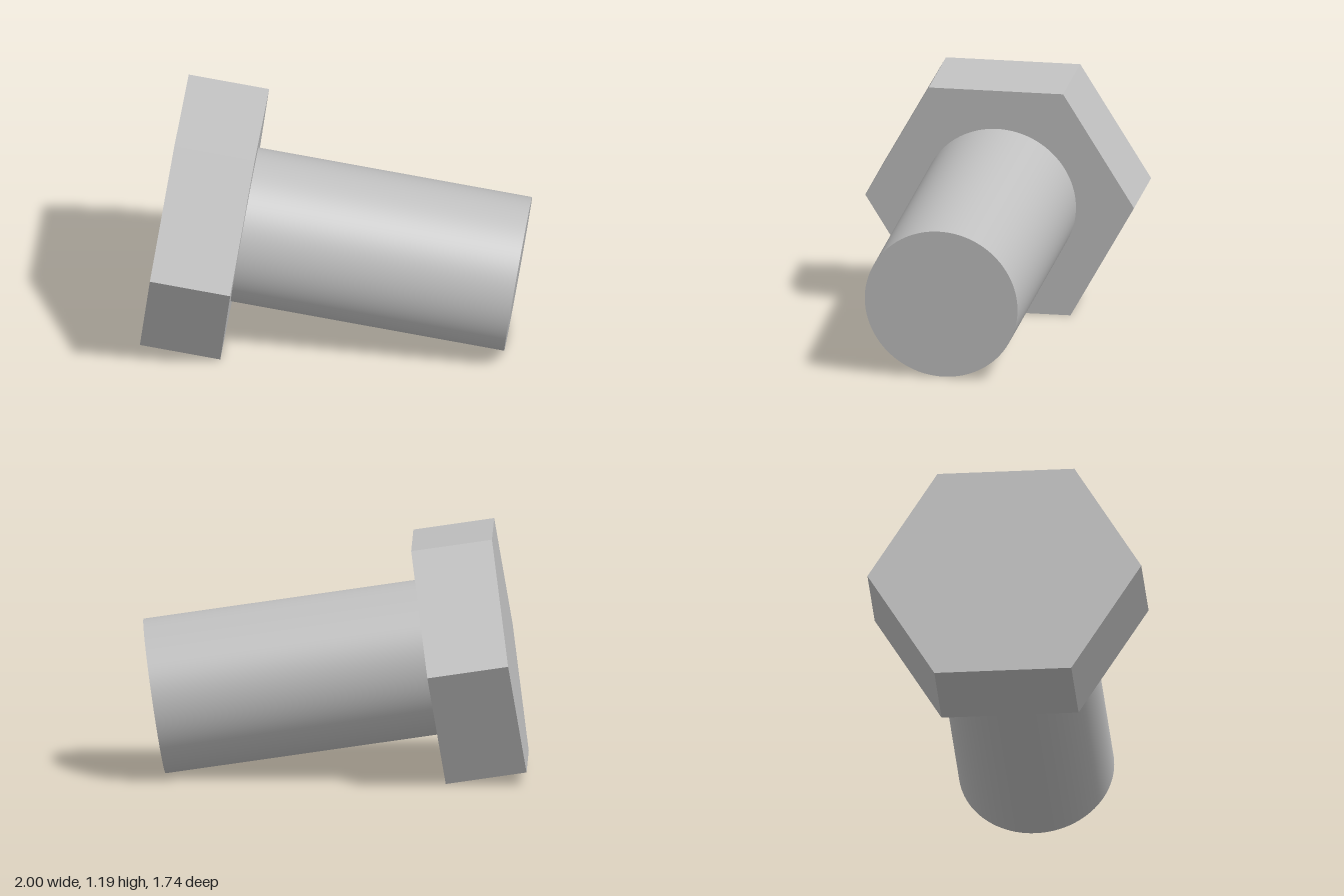
import * as THREE from 'three';

const HEAD_RADIUS = 0.66;
const HEAD_THICKNESS = 0.392;
const SHAFT_RADIUS = 0.375;
const TOTAL_LENGTH = 1.726;

// Cylinder running along +x from x = start to x = end
function rod(radius, start, end, sides) {
  return new THREE.CylinderGeometry(radius, radius, end - start, sides)
    .rotateZ(-Math.PI / 2)
    .translate((start + end) / 2, 0, 0);
}

export function createModel() {
  const steel = new THREE.MeshStandardMaterial({ color: 0xc0c0c0 });
  steel.name = 'steel grey';

  // Hexagonal head with flat faces
  const hex = rod(HEAD_RADIUS, 0, HEAD_THICKNESS, 6).toNonIndexed();
  hex.computeVertexNormals();
  const head = new THREE.Mesh(hex, steel);
  head.name = 'hexHead';

  // Smooth round shaft
  const shaft = new THREE.Mesh(rod(SHAFT_RADIUS, HEAD_THICKNESS, TOTAL_LENGTH, 96), steel);
  shaft.name = 'shaft';

  // Tilted bolt: axis swings to the back and dips downwards
  const bolt = new THREE.Group();
  bolt.name = 'bolt';
  bolt.add(head, shaft);
  bolt.rotation.set(0, THREE.MathUtils.degToRad(29.15), THREE.MathUtils.degToRad(-8.35), 'YXZ');
  bolt.position.set(-0.677, 0.623, 0.287);

  const model = new THREE.Group();
  model.name = 'hexBolt';
  model.add(bolt);
  return model;
}
